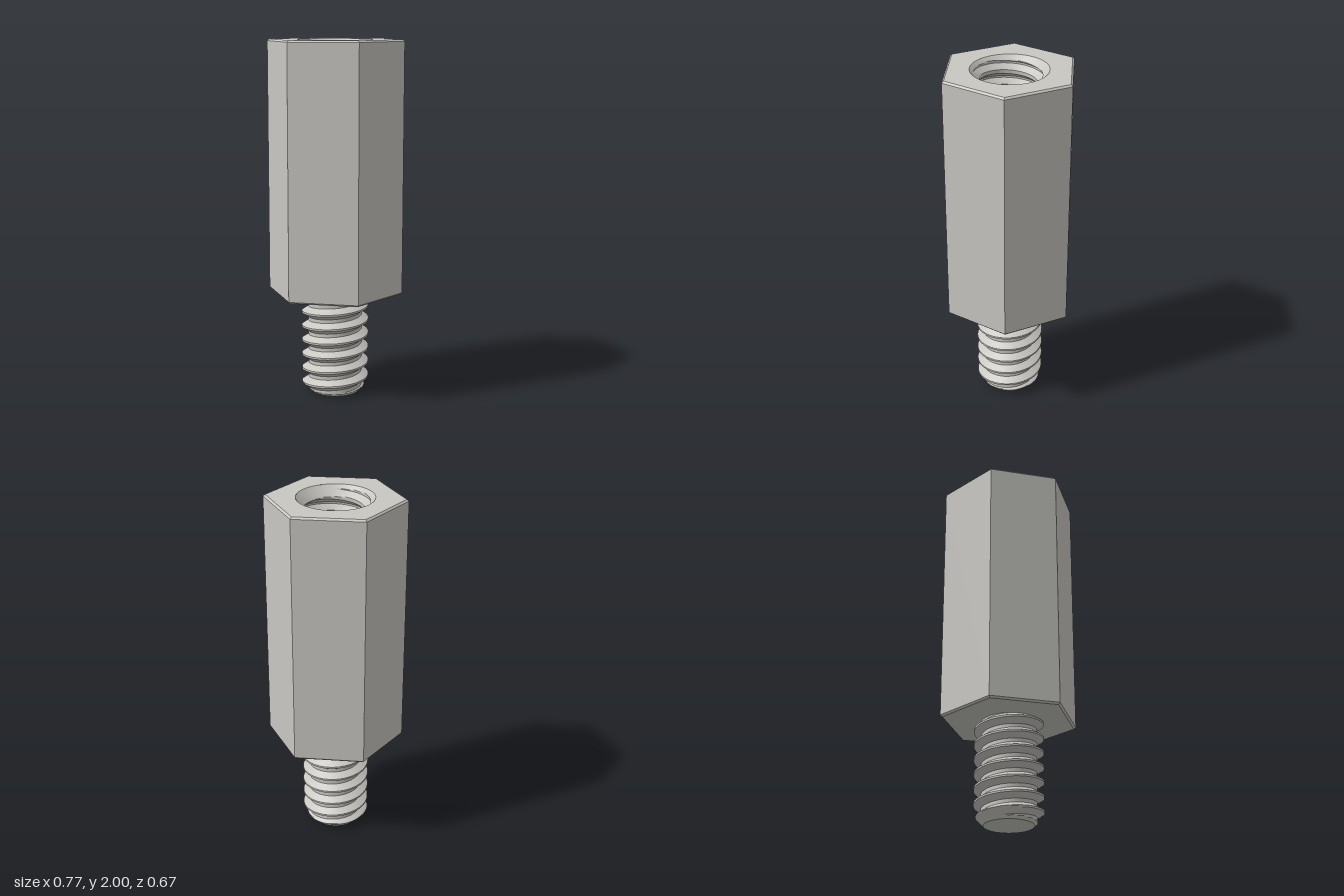
import * as THREE from 'three';
import { toCreasedNormals } from 'three/addons/utils/BufferGeometryUtils.js';

const PITCH = 0.083, MAJOR = 0.19, SEGS = 96, STEPS = 16;
const SHOULDER = 0.58, TOP = 2, HOLE_FLOOR = 1.1;
const HEX_R = 0.384, HEX_CHAMFER = 0.0115, SINK_R = 0.21, TIP_R = 0.137;

// Helical V-thread surface; limit(r, y) trims it with the end cone
function threadGeometry(y0, y1, minor, crestY, limit, inward) {
  const positions = [], index = [];
  const first = Math.floor((y0 - crestY) / PITCH - 1) * STEPS;
  const last = Math.ceil((y1 - crestY) / PITCH) * STEPS;
  const rows = last - first + 1;
  for (let j = 0; j <= SEGS; j++) {
    const turn = j / SEGS, a = (j % SEGS) / SEGS * Math.PI * 2;
    for (let i = first; i <= last; i++) {
      const y = THREE.MathUtils.clamp(crestY + (i / STEPS + turn) * PITCH, y0, y1);
      const phase = (y - crestY) / PITCH - turn;
      const d = Math.abs(phase - Math.round(phase));
      const h = THREE.MathUtils.clamp((0.375 - d) / 0.3125, 0, 1);
      const r = limit(minor + (MAJOR - minor) * h, y);
      positions.push(r * Math.cos(a), y, -r * Math.sin(a));
    }
  }
  for (let j = 0; j < SEGS; j++) {
    for (let i = 0; i < rows - 1; i++) {
      const a = j * rows + i, b = a + rows, c = b + 1, d = a + 1;
      if (inward) index.push(a, c, b, a, d, c);
      else index.push(a, b, c, a, c, d);
    }
  }
  const g = new THREE.BufferGeometry();
  g.setAttribute('position', new THREE.Float32BufferAttribute(positions, 3));
  g.setIndex(index);
  return toCreasedNormals(g, 0.35);
}

export function createModel() {
  const model = new THREE.Group();
  model.name = 'hexStandoff';
  const metal = new THREE.MeshStandardMaterial({ color: 0xc8c7c2 });
  metal.name = 'brushed metal';

  const add = (name, geometry) => {
    const mesh = new THREE.Mesh(geometry, metal);
    mesh.name = name;
    model.add(mesh);
    return mesh;
  };

  // Hexagonal body with chamfered ends
  const inner = HEX_R - HEX_CHAMFER;
  const profile = [
    [0, SHOULDER], [inner, SHOULDER], [HEX_R, SHOULDER + 0.01],
    [HEX_R, TOP - 0.01], [inner, TOP],
  ].map(([x, y]) => new THREE.Vector2(x, y));
  add('hexBody', toCreasedNormals(new THREE.LatheGeometry(profile, 6, Math.PI / 2), 0.1));

  // Top face with the round opening
  const face = new THREE.Shape();
  for (let k = 0; k < 6; k++) {
    const a = k * Math.PI / 3, x = inner * Math.cos(a), y = inner * Math.sin(a);
    if (k) face.lineTo(x, y); else face.moveTo(x, y);
  }
  face.closePath();
  face.holes.push(new THREE.Path().absarc(0, 0, SINK_R, 0, Math.PI * 2, true));
  add('topFace', new THREE.ShapeGeometry(face, SEGS).rotateX(-Math.PI / 2)).position.y = TOP;

  // Threaded socket with countersink, and its floor
  add('threadedSocket', threadGeometry(HOLE_FLOOR, TOP, 0.156, TOP - 0.025 - PITCH / 2,
    (r, y) => Math.max(r, SINK_R - (TOP - y)), true));
  add('socketFloor', new THREE.CircleGeometry(MAJOR, SEGS).rotateX(-Math.PI / 2))
    .position.y = HOLE_FLOOR;

  // Threaded stud with chamfered tip, and its end face
  add('threadedStud', threadGeometry(0, SHOULDER, 0.152, 0.02,
    (r, y) => Math.min(r, TIP_R + y), false));
  add('studEnd', new THREE.CircleGeometry(TIP_R, SEGS).rotateX(Math.PI / 2));

  return model;
}
